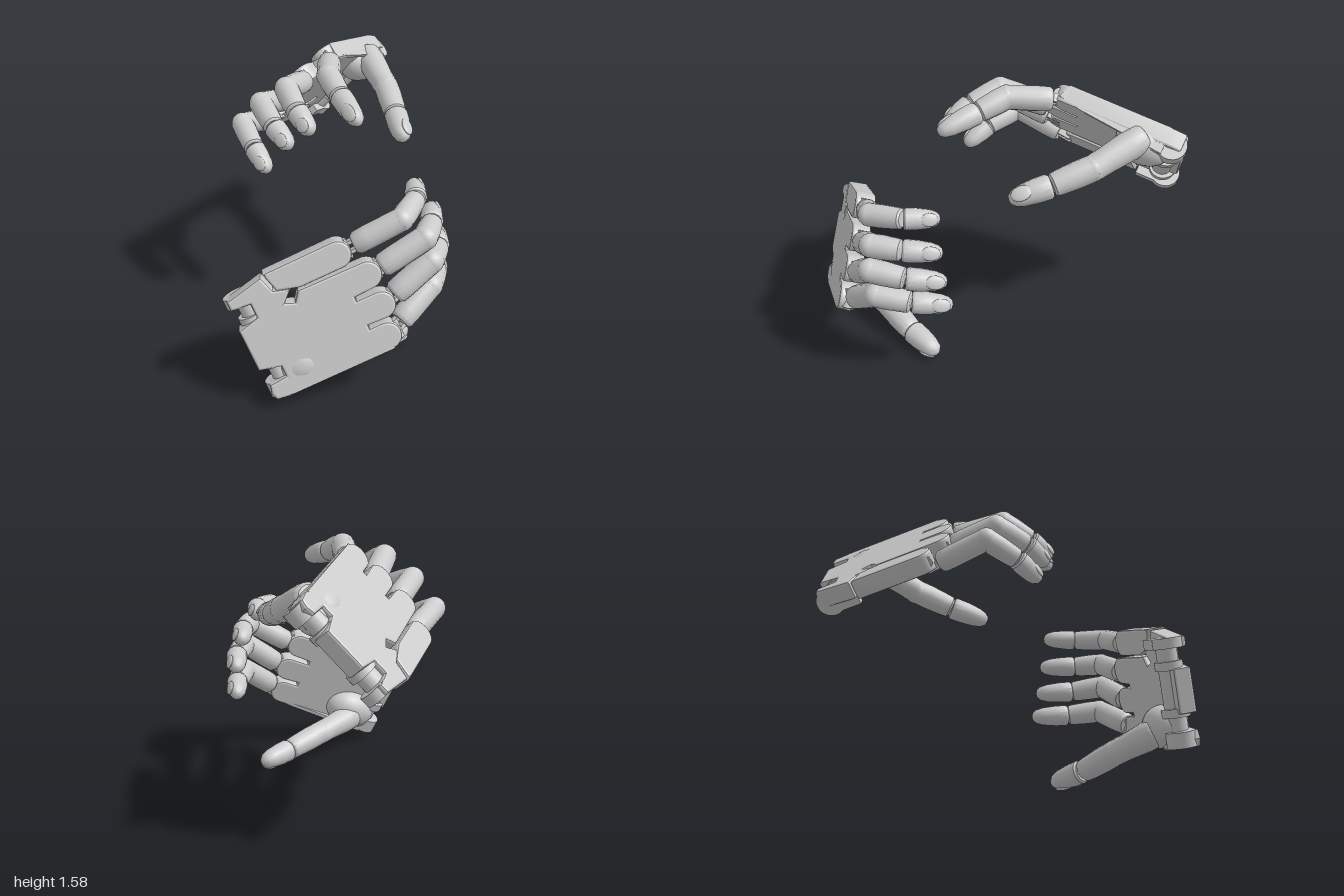
import * as THREE from 'three';
import { toCreasedNormals } from 'three/addons/utils/BufferGeometryUtils.js';

const V = (a) => new THREE.Vector3(...a);
const mat = new THREE.MeshStandardMaterial({ color: 0xcccccc, side: THREE.DoubleSide });

function part(parent, name, geo, crease = 0.6) {
  const m = new THREE.Mesh(toCreasedNormals(geo, crease), mat);
  m.name = name;
  parent.add(m);
  return m;
}

// Outline of the back plate: x runs to the fingers, y to the thumb
function plateShape() {
  const s = new THREE.Shape(), H = Math.PI / 2;
  s.moveTo(0.03, 0.055);
  [[-0.04, 0.045], [-0.055, 0], [-0.04, -0.05], [0.06, -0.06], [0.06, -0.12], [-0.06, -0.15], [-0.06, -0.4],
    [0.06, -0.43], [0.06, -0.51], [-0.05, -0.52], [-0.05, -0.575], [0.17, -0.625], [0.2, -0.53], [0.29, -0.5],
    [0.23, -0.44], [0.28, -0.42], [0.32, -0.475]].forEach((p) => s.lineTo(...p));
  [[0.69, -0.39], [0.69, -0.205], [0.65, -0.03]].forEach(([u, v], i) => {
    if (i) {
      s.lineTo(0.58, v - 0.1);
      s.lineTo(0.58, v - 0.08);
    }
    s.lineTo(u, v - 0.08);
    s.absarc(u, v, 0.08, -H, H, false);
  });
  s.closePath();
  return s;
}

// Separate hinged plate behind the little finger
function sidePlateShape() {
  const s = new THREE.Shape();
  s.moveTo(0.185, -0.635);
  s.lineTo(0.59, -0.64);
  s.absarc(0.59, -0.562, 0.078, -Math.PI / 2, Math.PI / 2, false);
  s.lineTo(0.34, -0.483);
  s.lineTo(0.215, -0.52);
  s.closePath();
  return s;
}

// Palm in its own frame; s = +1 or -1 puts the back of the hand on +z or -z
function buildPalm(s) {
  const g = new THREE.Group();
  g.name = 'palm';
  const slab = (name, shape, depth) => {
    const b = 0.014;
    const geo = new THREE.ExtrudeGeometry(shape, {
      depth: depth - 2 * b, bevelThickness: b, bevelSize: b, bevelOffset: -b, bevelSegments: 2, curveSegments: 10,
    });
    geo.translate(0, 0, s > 0 ? b - depth : b);
    return part(g, name, geo, 0.35);
  };
  slab('backPlate', plateShape(), 0.11);
  slab('littleFingerPlate', sidePlateShape(), 0.12);

  // round wrist prongs and the barrel between them: v, u, radius, length
  const rounds = [[-0.005, 0.015, 0.085, 0.09], [-0.548, 0.01, 0.085, 0.06], [-0.155, 0.035, 0.08, 0.05],
    [-0.42, 0.035, 0.08, 0.05], [-0.275, 0.04, 0.06, 0.5]];
  for (const [v, u, r, len] of rounds) {
    const prong = part(g, 'wristProng', new THREE.CylinderGeometry(r, r, len, 24));
    prong.position.set(u, v, -0.087 * s);
  }
  // prong arms running into the palm
  for (const [v, w] of [[-0.005, 0.09], [-0.548, 0.06]]) {
    const arm = part(g, 'prongArm', new THREE.BoxGeometry(0.16, w, 0.13));
    arm.position.set(0.09, v, -0.095 * s);
  }
  // thin guard along the thumb edge
  const guard = new THREE.Shape();
  [[0.05, 0], [0.66, 0], [0.69, -0.08 * s], [0.55, -0.11 * s], [0.05, -0.16 * s]]
    .forEach((p, i) => (i ? guard.lineTo(...p) : guard.moveTo(...p)));
  const edge = part(g, 'thumbSideGuard', new THREE.ExtrudeGeometry(guard, { depth: 0.022, bevelEnabled: false }));
  edge.rotation.x = Math.PI / 2;
  edge.position.y = 0.05;

  // knuckle hinge pins
  for (const [u, v] of [[0.7, -0.03], [0.73, -0.205], [0.73, -0.39], [0.63, -0.56]]) {
    const pin = part(g, 'knucklePin', new THREE.CylinderGeometry(0.035, 0.035, 0.11, 14));
    pin.position.set(u, v, -0.06 * s);
  }
  // mound that carries the thumb
  const mound = part(g, 'thumbMound', new THREE.SphereGeometry(0.15, 20, 14), 2);
  mound.scale.set(1.1, 0.85, 0.8);
  mound.position.set(0.165, -0.07, -0.11 * s);
  return g;
}

// Frame that runs along a -> b, with `back` as its outer side
function frame(parent, name, a, b, back) {
  const dir = b.clone().sub(a).normalize();
  const z = back.clone().addScaledVector(dir, -back.dot(dir)).normalize();
  const x = new THREE.Vector3().crossVectors(dir, z);
  const g = new THREE.Group();
  g.name = name;
  g.applyMatrix4(new THREE.Matrix4().makeBasis(x, dir, z).setPosition(a));
  parent.add(g);
  return g;
}

// Tapered segment between two points
function segment(parent, name, a, b, profile, back) {
  const len = a.distanceTo(b);
  const g = frame(parent, name, a, b, back);
  part(g, name + 'Shell', new THREE.LatheGeometry(profile.map(([r, t]) => new THREE.Vector2(r, t * len)), 14), 0.7);
  return { g, len };
}

// Three segments through four points, with a round middle joint and a nail
function buildDigit(name, pts, r, backOf, thumb) {
  const g = new THREE.Group();
  g.name = name;
  const p = pts.map(V), k = thumb ? 1.1 : 1;
  const dirs = [0, 1, 2].map((i) => p[i + 1].clone().sub(p[i]).normalize());
  const backs = dirs.map(backOf);

  const start = p[0].clone().addScaledVector(dirs[0], thumb ? -0.03 : 0.045);
  segment(g, 'lowerSegment', start, p[1],
    [[0, 0], [r * 0.8 * k, 0], [r * 0.98 * k, 0.06], [r * 1.02 * k, 0.3], [r, 0.75], [r * 0.99, 1], [0, 1]], backs[0]);
  segment(g, 'middleSegment', p[1], p[2],
    [[0, 0], [r * 0.99, 0], [r, 0.35], [r * 0.93, 0.8], [r * 0.88, 0.95], [r * 0.7, 1], [0, 1]], backs[1]);
  const tip = segment(g, 'tipSegment', p[2], p[3],
    [[0, 0.02], [r * 0.8, 0.02], [r * 0.94, 0.08], [r * 0.92, 0.4], [r * 0.8, 0.78], [r * 0.62, 0.98], [r * 0.35, 1.09], [0, 1.12]], backs[2]);
  part(g, 'middleJoint', new THREE.SphereGeometry(r, 18, 12), 2).position.copy(p[1]);

  const nail = part(tip.g, 'nail', new THREE.SphereGeometry(1, 14, 10), 2);
  nail.scale.set(r * 0.58, tip.len * 0.27, r * 0.2);
  nail.position.set(0, tip.len * 0.79, r * 0.66);
  nail.rotation.x = -0.16;

  // forked link to the palm
  if (!thumb) {
    const root = frame(g, 'rootLink', p[0], p[1], backs[0]);
    for (const sx of [-1, 1]) {
      const tab = part(root, 'linkTab', new THREE.BoxGeometry(0.02, 0.12, 0.05));
      tab.position.set(sx * 0.026, 0.025, 0);
    }
  }
  return g;
}

function buildHand(name, s, origin, u, across, digits) {
  const hand = new THREE.Group();
  hand.name = name;
  const U = V(u).normalize();
  const N = new THREE.Vector3().crossVectors(U, V(across)).normalize();
  const W = new THREE.Vector3().crossVectors(N, U);
  const palm = buildPalm(s);
  palm.applyMatrix4(new THREE.Matrix4().makeBasis(U, W, N).setPosition(V(origin)));
  hand.add(palm);
  const fingerBack = (d) => new THREE.Vector3().crossVectors(d, W).multiplyScalar(s);
  const radii = { indexFinger: 0.07, middleFinger: 0.07, ringFinger: 0.069, littleFinger: 0.066, thumb: 0.076 };
  for (const key in digits) {
    const thumb = key === 'thumb';
    hand.add(buildDigit(key, digits[key], radii[key], thumb ? () => W.clone() : fingerBack, thumb));
  }
  return hand;
}

export function createModel() {
  const model = new THREE.Group();
  model.name = 'pairOfMechanicalHands';
  model.add(buildHand('rightHand', 1, [-0.615, 1.395, -0.92], [0.36, 0.235, 0.9], [0.525, 0.7, -0.41], {
    indexFinger: [[-0.31, 1.5, -0.31], [-0.09, 1.52, -0.1], [0.07, 1.465, -0.04], [0.285, 1.405, 0.03]],
    middleFinger: [[-0.4, 1.37, -0.2], [-0.24, 1.45, 0.09], [-0.07, 1.385, 0.16], [0.075, 1.32, 0.19]],
    ringFinger: [[-0.49, 1.24, -0.13], [-0.39, 1.33, 0.16], [-0.19, 1.27, 0.23], [-0.04, 1.21, 0.25]],
    littleFinger: [[-0.6, 1.08, -0.13], [-0.52, 1.17, 0.2], [-0.33, 1.1, 0.27], [-0.18, 1.025, 0.3]],
    thumb: [[-0.45, 1.37, -0.77], [-0.18, 1.26, -0.67], [0.02, 1.185, -0.55], [0.2, 1.13, -0.43]],
  }));
  model.add(buildHand('leftHand', -1, [0.555, 0.145, 0.845], [0.49, 0.38, -0.785], [0.44, -0.88, -0.165], {
    indexFinger: [[0.83, 0.425, 0.255], [0.85, 0.595, 0], [0.74, 0.575, -0.17], [0.59, 0.555, -0.315]],
    middleFinger: [[0.775, 0.58, 0.26], [0.865, 0.765, 0.02], [0.76, 0.74, -0.15], [0.61, 0.715, -0.295]],
    ringFinger: [[0.695, 0.735, 0.29], [0.83, 0.905, 0.04], [0.74, 0.9, -0.11], [0.6, 0.885, -0.255]],
    littleFinger: [[0.575, 0.865, 0.38], [0.745, 1.02, 0.14], [0.67, 1.045, -0.05], [0.535, 1.04, -0.175]],
    thumb: [[0.48, 0.2, 0.62], [0.5, 0.15, 0.34], [0.53, 0.095, 0.08], [0.54, 0.073, -0.13]],
  }));
  return model;
}
